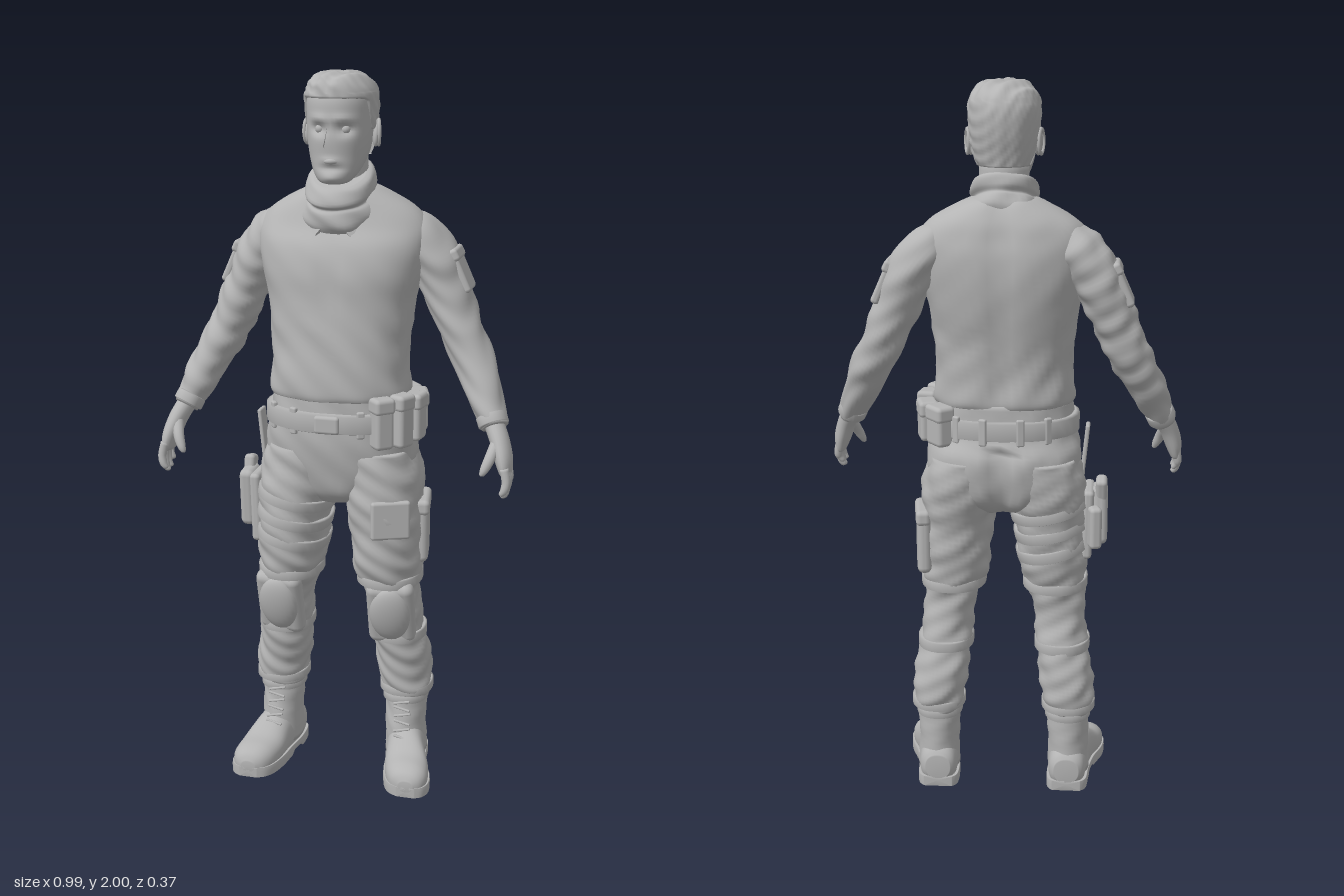
import * as THREE from 'three';
import { RoundedBoxGeometry } from 'three/addons/geometries/RoundedBoxGeometry.js';

const grey = new THREE.MeshStandardMaterial({ color: 0xb4b4b4 });
grey.name = 'plain grey';
const V = (x, y, z) => new THREE.Vector3(x, y, z);
const UP = V(0, 1, 0);

// Smooth interpolation through section rows [x, y, z, ra, rb]
function refine(rows, sub) {
  const out = [];
  for (let i = 0; i < rows.length - 1; i++) {
    const [a, b, c, d] = [rows[Math.max(i - 1, 0)], rows[i], rows[i + 1], rows[Math.min(i + 2, rows.length - 1)]];
    for (let k = 0; k < sub; k++) {
      const t = k / sub;
      out.push(b.map((v, j) => v + 0.5 * t * (c[j] - a[j] + t * (2 * a[j] - 5 * v + 4 * c[j] - d[j] + t * (3 * (v - c[j]) + d[j] - a[j])))));
    }
  }
  out.push(rows[rows.length - 1]);
  return out;
}

// Closed skin over superelliptic sections; a fixed axis keeps the sections parallel
function loft(rows, { axis = null, ref = V(0, 0, 1), pow = 2, sub = 5, n = 32, mod = null } = {}) {
  const R = refine(rows, sub), pos = [], idx = [];
  const C = R.map(r => V(r[0], r[1], r[2]));
  const sp = v => Math.sign(v) * Math.pow(Math.abs(v), 2 / pow);
  R.forEach((r, i) => {
    const T = axis ? axis.clone().normalize() : C[Math.min(i + 1, C.length - 1)].clone().sub(C[Math.max(i - 1, 0)]).normalize();
    const B = ref.clone().addScaledVector(T, -ref.dot(T)).normalize();
    const A = B.clone().cross(T);
    for (let j = 0; j < n; j++) {
      const t = j / n * Math.PI * 2;
      const p = C[i].clone().addScaledVector(A, r[3] * sp(Math.cos(t))).addScaledVector(B, r[4] * sp(Math.sin(t)));
      if (mod) mod(p, C[i]);
      pos.push(p.x, p.y, p.z);
    }
  });
  const m = R.length - 1, s = m * n + n, e = s + 1;
  const c0 = C[0], c1 = C[m];
  pos.push(c0.x, c0.y, c0.z, c1.x, c1.y, c1.z);
  for (let j = 0; j < n; j++) {
    const k = (j + 1) % n;
    for (let i = 0; i < m; i++) {
      const a = i * n + j, b = i * n + k;
      idx.push(a, b, a + n, b, b + n, a + n);
    }
    idx.push(s, k, j, e, m * n + j, m * n + k);
  }
  const g = new THREE.BufferGeometry();
  g.setAttribute('position', new THREE.Float32BufferAttribute(pos, 3));
  g.setIndex(idx);
  g.computeVertexNormals();
  return g;
}

// Slanting cloth folds, pushed out from the section centre
const folds = (amp, f = 60) => (p, c) => {
  const w = Math.sin(p.y * f + p.x * 45 + 2 * Math.sin(p.z * 25)) * Math.sin(p.y * f * 0.37 + p.z * 38 + p.x * 12);
  p.addScaledVector(p.clone().sub(c).normalize(), amp * w);
};

// Section of a vertical limb at height y
function sectionAt(rows, y) {
  const i = rows.findIndex((r, k) => k < rows.length - 1 && (r[1] - y) * (rows[k + 1][1] - y) <= 0);
  const a = rows[i], b = rows[i + 1], t = (y - a[1]) / (b[1] - a[1]);
  return a.map((v, j) => v + (b[j] - v) * t);
}

export function createModel() {
  const model = new THREE.Group();
  const add = (name, geo) => {
    const m = new THREE.Mesh(geo, grey);
    m.name = name;
    model.add(m);
    return m;
  };
  const box = (name, size, at, rot = [0, 0, 0], r = 0.012) => {
    const m = add(name, new RoundedBoxGeometry(...size, 2, Math.min(r, Math.min(...size) * 0.45)));
    m.position.set(...at);
    m.rotation.set(...rot);
    return m;
  };
  // Strap with square edges round a section
  const band = (name, [x, y, z, a, b], h, grow, axis = UP, pow = 2.2) => {
    const d = axis.clone().normalize();
    add(name, loft([[-0.5, 0], [-0.42, grow], [0.42, grow], [0.5, 0]].map(([t, g]) =>
      [x + d.x * h * t, y + d.y * h * t, z + d.z * h * t, a + g, b + g]), { axis, pow, sub: 1 }));
  };

  // Shirt body, with a spine groove and a soft chest
  add('shirt', loft([
    [0, 1.14, 0, 0.19, 0.147], [0, 1.16, 0, 0.195, 0.152], [0, 1.22, 0, 0.19, 0.15], [0, 1.3, -0.007, 0.19, 0.15],
    [0, 1.4, -0.02, 0.203, 0.154], [0, 1.48, -0.026, 0.222, 0.157], [0, 1.55, -0.035, 0.232, 0.147],
    [0, 1.6, -0.046, 0.228, 0.126], [0, 1.645, -0.05, 0.19, 0.11], [0, 1.69, -0.045, 0.105, 0.09], [0, 1.7, -0.04, 0.07, 0.07],
  ], { axis: UP, pow: 2.3, n: 56, mod: (p, c) => {
    folds(p.y < 1.36 ? 0.004 : 0.0015, 45)(p, c);
    if (p.z < -0.05) p.z += 0.012 * Math.exp(-((p.x / 0.03) ** 2));
    else if (p.z > 0.05) p.z -= 0.007 * Math.exp(-((p.x / 0.025) ** 2) - (((p.y - 1.47) / 0.08) ** 2));
  } }));

  // Neck, scarf and open collar
  add('neck', loft([[0, 1.64, -0.03, 0.07, 0.075], [0, 1.8, -0.02, 0.066, 0.075]], { axis: UP, sub: 4 }));
  const tilt = V(0, 1, 0.36);
  add('scarf', loft([
    [0, 1.62, -0.02, 0.1, 0.115], [0, 1.645, -0.015, 0.112, 0.128], [0, 1.675, -0.008, 0.098, 0.12],
    [0, 1.685, -0.006, 0.086, 0.112], [0, 1.7, 0, 0.095, 0.122], [0, 1.728, 0, 0.088, 0.112], [0, 1.735, 0.005, 0.07, 0.09],
  ], { axis: tilt, sub: 4, n: 40, mod: folds(0.005, 70) }));
  for (const s of [-1, 1]) {
    const flap = new THREE.Shape([[0, 0], [0.075, 0.075], [0.1, 0.03], [0.035, -0.035]].map(([x, y]) => new THREE.Vector2(x * s, y)));
    const m = add('collarFlap', new THREE.ExtrudeGeometry(flap, { depth: 0.008, bevelEnabled: false }));
    m.position.set(s * 0.012, 1.615, 0.085);
    m.rotation.set(-0.5, s * 0.45, 0);
  }

  // Head with eye sockets and brow
  add('head', loft([
    [0, 1.715, 0.072, 0.025, 0.024], [0, 1.722, 0.065, 0.042, 0.045], [0, 1.745, 0.045, 0.06, 0.069], [0, 1.785, 0.018, 0.076, 0.094],
    [0, 1.83, 0.006, 0.084, 0.109], [0, 1.88, -0.006, 0.088, 0.118], [0, 1.93, -0.008, 0.088, 0.116],
    [0, 1.965, -0.01, 0.076, 0.095], [0, 1.985, -0.008, 0.04, 0.05],
  ], { axis: UP, pow: 2.15, n: 56, sub: 7, mod: p => {
    if (p.z < 0.03) return;
    const bump = (x, y, rx, ry) => Math.exp(-(((Math.abs(p.x) - x) / rx) ** 2) - (((p.y - y) / ry) ** 2));
    p.z += -0.017 * bump(0.035, 1.856, 0.02, 0.014) + 0.007 * bump(0.03, 1.883, 0.03, 0.01)
      + 0.006 * bump(0, 1.777, 0.022, 0.008) - 0.007 * bump(0, 1.757, 0.03, 0.008) + 0.007 * bump(0, 1.733, 0.025, 0.012);
  } }));
  add('nose', loft([[0, 1.878, 0.106, 0.008, 0.008], [0, 1.85, 0.112, 0.011, 0.011], [0, 1.825, 0.118, 0.015, 0.016],
    [0, 1.813, 0.117, 0.018, 0.016], [0, 1.804, 0.11, 0.01, 0.008]], { axis: UP, n: 16 }));
  add('lips', loft([[-0.026, 1.774, 0.101, 0.003, 0.003], [0, 1.776, 0.115, 0.007, 0.007], [0.026, 1.774, 0.101, 0.003, 0.003]], { n: 12 }));
  for (const s of [-1, 1]) {
    const eye = add('eye', new THREE.SphereGeometry(0.013, 14, 10));
    eye.position.set(s * 0.034, 1.856, 0.086);
    const ear = add('ear', new THREE.SphereGeometry(1, 16, 12));
    ear.scale.set(0.01, 0.036, 0.021);
    ear.position.set(s * 0.09, 1.838, -0.018);
    ear.rotation.set(-0.2, s * 0.3, 0);
    const rim = add('earRim', new THREE.TorusGeometry(0.024, 0.005, 8, 20));
    rim.scale.set(0.8, 1.3, 1);
    rim.position.set(s * 0.097, 1.84, -0.02);
    rim.rotation.y = Math.PI / 2 + s * 0.3;
  }
  // Hair shell, cut back below the hairline and roughened into tufts
  add('hair', loft([
    [0, 1.78, -0.03, 0.07, 0.08], [0, 1.815, -0.02, 0.083, 0.098], [0, 1.86, -0.012, 0.092, 0.117], [0, 1.91, -0.01, 0.096, 0.123],
    [0, 1.945, -0.006, 0.094, 0.12], [0, 1.972, 0, 0.08, 0.107], [0, 1.99, 0.008, 0.055, 0.078], [0, 1.996, 0.015, 0.02, 0.03],
  ], { axis: UP, pow: 2.1, n: 60, sub: 6, mod: (p, c) => {
    const d = p.clone().sub(c).normalize();
    p.addScaledVector(d, 0.003 * Math.sin(p.x * 170 + p.y * 90) * Math.sin(p.z * 120 - p.y * 60));
    if (p.y > 1.95) p.y = Math.min(2, p.y + 0.004 * Math.sin(p.x * 110 + p.z * 50));
    const line = p.y < 1.845 ? -0.045 : p.y < 1.93 ? 0.015 + (p.y - 1.845) * 0.4 : 1;
    p.z = Math.min(p.z, line);
  } }));

  // Hips and belt
  const hips = [[0, 0.835, -0.015, 0.07, 0.1], [0, 0.87, -0.02, 0.14, 0.135], [0, 0.93, -0.022, 0.205, 0.152], [0, 1.0, -0.018, 0.212, 0.16],
    [0, 1.06, -0.003, 0.2, 0.147], [0, 1.15, 0, 0.188, 0.143]];
  add('hips', loft(hips, { axis: UP, pow: 2.2, n: 48, mod: (p, c) => {
    folds(0.003, 50)(p, c);
    if (p.z < -0.08 && p.y < 1.03) p.z += 0.03 * Math.exp(-((p.x / 0.03) ** 2));
  } }));
  band('belt', [0, 1.08, 0.002, 0.198, 0.148], 0.055, 0.01);
  box('beltBuckle', [0.07, 0.05, 0.02], [0, 1.08, 0.158]);
  for (const a of [-0.95, -0.5, 0.45, 2.5, 2.9, 3.4, 3.8])
    box('beltLoop', [0.022, 0.075, 0.014], [Math.sin(a) * 0.205, 1.08, Math.cos(a) * 0.155], [0, a, 0], 0.005);
  // Belt pouches round the left hip
  for (const [a, w, h] of [[0.72, 0.055, 0.14], [1.05, 0.055, 0.145], [1.4, 0.06, 0.13], [1.85, 0.07, 0.11], [2.25, 0.07, 0.11]]) {
    const x = Math.sin(a) * 0.218, z = Math.cos(a) * 0.165;
    box('beltPouch', [w, h, 0.05], [x, 1.085, z], [0, a, 0]);
    box('pouchFlap', [w + 0.006, 0.045, 0.056], [x, 1.075 + h / 2 - 0.01, z], [0, a, 0]);
  }

  for (const s of [-1, 1]) {
    // Trouser leg
    const leg = [[0.105, 0.99, -0.02, 0.1, 0.145], [0.118, 0.9, -0.015, 0.112, 0.15], [0.13, 0.8, 0, 0.102, 0.138], [0.137, 0.7, 0.002, 0.098, 0.128],
      [0.14, 0.64, 0.003, 0.094, 0.118], [0.15, 0.58, 0, 0.079, 0.098], [0.16, 0.5, -0.01, 0.072, 0.09], [0.168, 0.42, -0.027, 0.075, 0.09],
      [0.178, 0.35, -0.042, 0.076, 0.093], [0.186, 0.28, -0.048, 0.075, 0.087], [0.188, 0.24, -0.048, 0.071, 0.078], [0.187, 0.22, -0.047, 0.058, 0.068],
    ].map(r => [r[0] * s, ...r.slice(1)]);
    add('trouserLeg', loft(leg, { axis: V(0, -1, 0), pow: 2.15, n: 44, sub: 7, mod: folds(0.0055, 75) }));
    band('kneeStrap', sectionAt(leg, 0.61), 0.03, 0.006);
    band('kneeStrap', sectionAt(leg, 0.43), 0.03, 0.005);
    band('trouserCuff', sectionAt(leg, 0.25), 0.025, 0.005);
    box('kneePadBase', [0.135, 0.2, 0.055], [s * 0.162, 0.515, 0.062], [0.28, s * 0.12, 0], 0.025);
    const cap = add('kneePadCap', new THREE.SphereGeometry(1, 24, 16));
    cap.scale.set(0.058, 0.088, 0.03);
    cap.position.set(s * 0.163, 0.515, 0.085);
    cap.rotation.set(0.28, s * 0.12, 0);

    // Boot
    add('bootShaft', loft([[s * 0.186, 0.255, -0.047, 0.06, 0.07], [s * 0.187, 0.2, -0.046, 0.06, 0.072], [s * 0.188, 0.13, -0.04, 0.058, 0.078], [s * 0.19, 0.04, -0.04, 0.06, 0.085]],
      { axis: V(0, -1, 0), mod: folds(0.002, 90) }));
    band('bootCollar', [s * 0.186, 0.222, -0.046, 0.06, 0.07], 0.025, 0.006);
    const foot = [[0.186, 0.06, -0.128, 0.035, 0.035], [0.187, 0.06, -0.105, 0.052, 0.06], [0.19, 0.06, -0.04, 0.056, 0.08], [0.203, 0.06, 0.03, 0.057, 0.072],
      [0.218, 0.045, 0.09, 0.064, 0.05], [0.228, 0.038, 0.14, 0.06, 0.046], [0.232, 0.034, 0.17, 0.044, 0.036], [0.234, 0.032, 0.184, 0.02, 0.016]].map(r => [r[0] * s, ...r.slice(1)]);
    const o = { axis: V(0, 0, 1), ref: UP, pow: 2.3, n: 32 };
    add('bootFoot', loft(foot, { ...o, mod: p => { p.y = Math.max(p.y, 0.015); } }));
    add('bootSole', loft(foot.map(r => [r[0], 0.018, r[2], r[3] + 0.005, 0.05]), { ...o, pow: 4, mod: p => {
      p.y = THREE.MathUtils.clamp(p.y, p.z > -0.035 && p.z < 0.02 ? 0.012 : 0, 0.03);
    } }));
    for (let i = 0; i < 6; i++) {
      const y = 0.115 + i * 0.02;
      box('bootLace', [0.05, 0.007, 0.01], [s * (0.193 - i * 0.001), y, 0.052 - Math.min(i, 3) * 0.008], [-0.4, 0, (i % 2 ? 1 : -1) * 0.2], 0.003);
    }

    // Sleeve and its upper pocket
    const arm = [[0.14, 1.595, -0.06, 0.04, 0.05], [0.19, 1.57, -0.066, 0.064, 0.084], [0.24, 1.51, -0.07, 0.068, 0.09], [0.272, 1.44, -0.068, 0.064, 0.086],
      [0.302, 1.37, -0.06, 0.061, 0.08], [0.335, 1.29, -0.05, 0.058, 0.077], [0.375, 1.215, -0.022, 0.053, 0.068], [0.41, 1.14, 0.015, 0.046, 0.054],
      [0.437, 1.075, 0.048, 0.035, 0.042]].map(r => [r[0] * s, ...r.slice(1)]);
    add('sleeve', loft(arm, { n: 40, sub: 7, mod: folds(0.005, 70) }));
    box('sleevePocket', [0.024, 0.12, 0.1], [s * 0.318, 1.475, -0.07], [0, 0, s * 0.42], 0.01);
    box('sleevePocketFlap', [0.026, 0.035, 0.106], [s * 0.303, 1.52, -0.07], [0, 0, s * 0.45], 0.01);
    band('sleeveCuff', [s * 0.43, 1.092, 0.04, 0.036, 0.043], 0.03, 0.005, V(s * 0.38, -0.85, 0.42));

    // Hand
    add('palm', loft([[0.435, 1.085, 0.045, 0.027, 0.032], [0.455, 1.045, 0.068, 0.026, 0.038], [0.47, 1.0, 0.086, 0.024, 0.045],
      [0.477, 0.965, 0.094, 0.016, 0.042], [0.478, 0.958, 0.095, 0.008, 0.03]].map(r => [r[0] * s, ...r.slice(1)]), { n: 20 }));
    const finger = (name, pts) => add(name, loft(pts.map(([x, y, z, r]) => [x * s, y, z, r, r]), { n: 12, sub: 4 }));
    [[0.126, 0.912], [0.105, 0.9], [0.084, 0.905], [0.064, 0.922]].forEach(([z, tip]) => finger('finger', [
      [0.477, 0.985, z, 0.012], [0.484, 0.95, z + 0.004, 0.012], [0.48, tip + 0.015, z + 0.008, 0.0105], [0.472, tip + 0.003, z + 0.008, 0.007], [0.47, tip, z + 0.008, 0.002]]));
    finger('thumb', [[0.45, 1.045, 0.085, 0.016], [0.438, 1.01, 0.118, 0.015], [0.426, 0.982, 0.132, 0.012], [0.419, 0.967, 0.136, 0.007], [0.418, 0.963, 0.137, 0.002]]);

    // Thigh gear: straps and holster on the right, cargo pocket on the left
    if (s < 0) {
      for (const y of [0.835, 0.775, 0.715]) band('thighStrap', sectionAt(leg, y), 0.032, 0.006, V(0.22, 1, 0), 2.15);
      box('holsterPanel', [0.03, 0.2, 0.13], [-0.235, 0.79, 0.0], [0, 0, 0.03]);
      box('holsterBody', [0.045, 0.17, 0.085], [-0.268, 0.81, 0.0], [0.08, 0, 0], 0.018);
      box('holsterGrip', [0.032, 0.075, 0.05], [-0.272, 0.885, -0.018], [-0.25, 0, 0], 0.012);
      box('holsterPouch', [0.035, 0.12, 0.045], [-0.255, 0.79, -0.07], [0, 0.3, 0]);
      box('holsterHanger', [0.012, 0.2, 0.05], [-0.222, 0.97, 0], [0, 0, 0.1], 0.005);
    } else {
      box('cargoPocket', [0.04, 0.17, 0.13], [0.226, 0.735, -0.045], [0, 0.15, 0], 0.018);
      box('cargoPocketFlap', [0.042, 0.045, 0.14], [0.228, 0.815, -0.045], [0, 0.15, 0], 0.014);
      box('frontPocket', [0.11, 0.11, 0.02], [0.17, 0.81, 0.122], [0, 0.4, 0], 0.009);
    }
  }
  return model;
}
